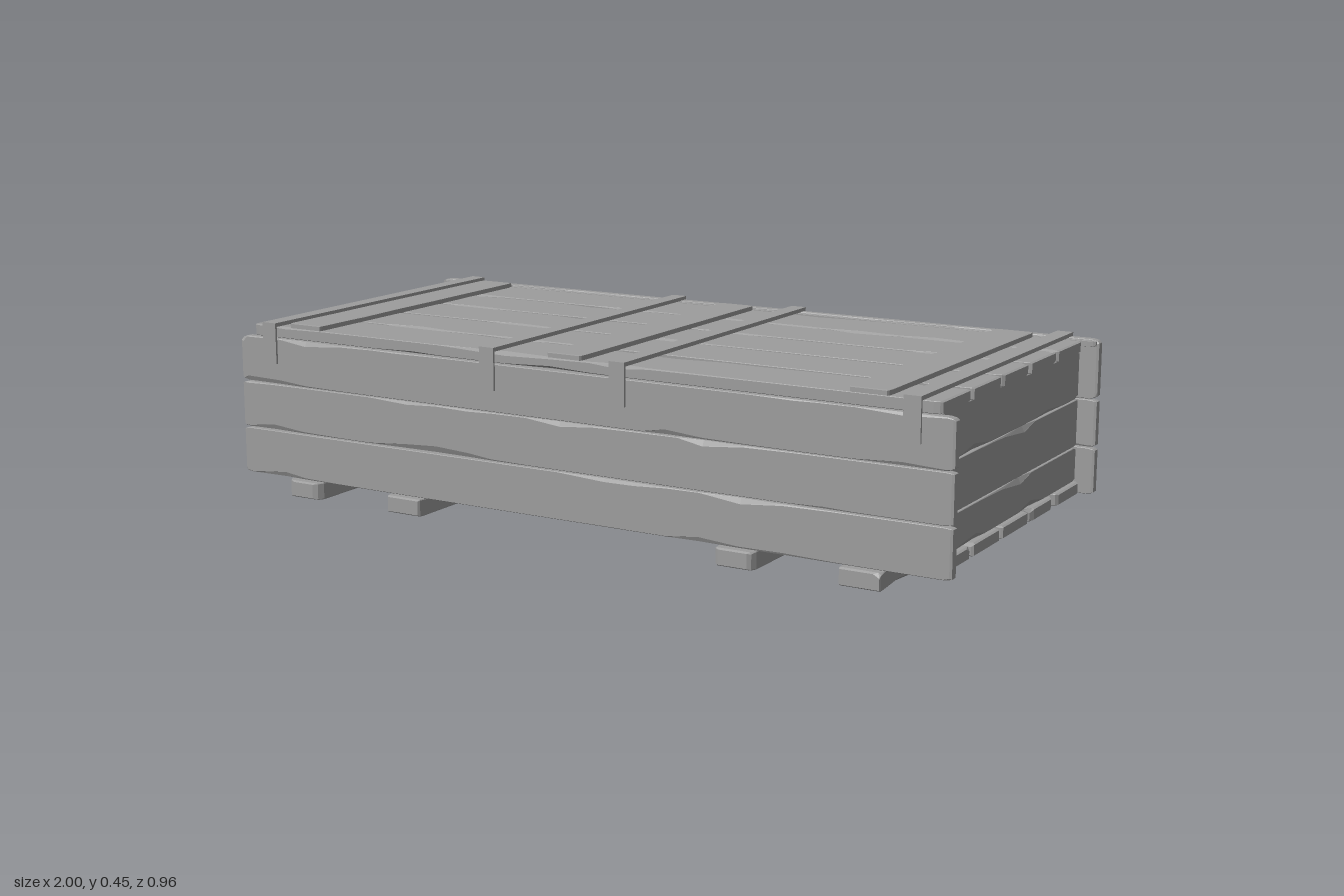
import * as THREE from 'three';

// Small seeded generator for the wear on the wood
let state = 7;
const rnd = () => {
  state = (state * 16807) % 2147483647;
  return state / 2147483647;
};

const material = new THREE.MeshStandardMaterial({ color: 0x9d9d9d, flatShading: true });
const X = new THREE.Vector3(1, 0, 0);
const Y = new THREE.Vector3(0, 1, 0);
const Z = new THREE.Vector3(0, 0, 1);

// Directions of a plank's length, thickness and width
const FLAT_X = [X, Y, Z];
const FLAT_Z = [Z, Y, X.clone().negate()];
const WALL_X = [X, Z, Y.clone().negate()];
const WALL_Z = [Z, X, Y];

// Worn plank: octagonal cross-sections whose chamfers vary along the length
function plankGeometry(length, thick, width, wear) {
  const stations = Math.max(8, Math.round(length / 0.1));
  const pos = [];
  const index = [];
  const corners = [[1, 1], [1, -1], [-1, -1], [-1, 1]];
  const depth = [0, 0, 0, 0];
  const round = [rnd(), rnd()].map((r) => 0.003 + wear * 0.022 * r * r);
  const ts = [0, 0.006, 0.02];
  for (let i = 1; i < stations; i++) ts.push(0.02 + (length - 0.04) * (i + (rnd() - 0.5) * 0.5) / stations);
  ts.push(length - 0.02, length - 0.006, length);
  ts.forEach((t, i) => {
    const end = t < length / 2 ? 0 : 1;
    const fromEnd = Math.min(i, ts.length - 1 - i);
    const inset = fromEnd === 0 ? round[end] : fromEnd === 1 ? round[end] * 0.4 : 0;
    const squash = fromEnd === 0 ? thick * 0.08 : 0;
    corners.forEach(([sy, sz], k) => {
      const target = rnd() < 0.2 ? rnd() : 0.01;
      depth[k] = depth[k] * 0.2 + target * 0.8;
      const cw = 0.001 + 0.024 * depth[k] * wear;
      const ct = thick * (0.04 + 0.4 * depth[k] * wear);
      const a = [t - length / 2, sy * (thick / 2 - squash), sz * (width / 2 - inset - cw)];
      const b = [t - length / 2, sy * (thick / 2 - Math.max(ct, squash)), sz * (width / 2 - inset)];
      pos.push(...(sy === sz ? [...b, ...a] : [...a, ...b]));
    });
  });
  const last = (ts.length - 1) * 8;
  for (let i = 0; i < last; i += 8) {
    for (let k = 0; k < 8; k++) {
      const n = (k + 1) % 8;
      index.push(i + k, i + 8 + k, i + 8 + n, i + k, i + 8 + n, i + n);
    }
  }
  for (let k = 1; k < 7; k++) {
    index.push(0, k, k + 1, last, last + k + 1, last + k);
  }
  // The corners run clockwise seen from the far end, so the faces are turned outward here
  index.reverse();
  const g = new THREE.BufferGeometry();
  g.setAttribute('position', new THREE.Float32BufferAttribute(pos, 3));
  g.setIndex(outward(pos, index) ? index : index.reverse());
  const flat = g.toNonIndexed();
  flat.computeVertexNormals();
  return flat;
}

// True when the closed surface encloses a positive volume
function outward(pos, index) {
  const p = (i) => new THREE.Vector3().fromArray(pos, i * 3);
  let volume = 0;
  for (let i = 0; i < index.length; i += 3) {
    volume += p(index[i]).dot(p(index[i + 1]).cross(p(index[i + 2])));
  }
  return volume > 0;
}

function plank(parent, name, axes, [length, thick, width], [x, y, z], wear = 1) {
  const mesh = new THREE.Mesh(plankGeometry(length, thick, width, wear), material);
  mesh.name = name;
  mesh.quaternion.setFromRotationMatrix(new THREE.Matrix4().makeBasis(...axes));
  mesh.position.set(x, y, z);
  parent.add(mesh);
}

function box(parent, name, w, h, d, x, y, z) {
  const mesh = new THREE.Mesh(new THREE.BoxGeometry(w, h, d), material);
  mesh.name = name;
  mesh.position.set(x, y, z);
  parent.add(mesh);
}

function section(parent, name) {
  const g = new THREE.Group();
  g.name = name;
  parent.add(g);
  return g;
}

export function createModel() {
  state = 7;
  const crate = new THREE.Group();
  crate.name = 'woodenCrate';

  // Runners under the crate
  const base = section(crate, 'base');
  for (const x of [-0.79, -0.47, 0.47, 0.79]) {
    plank(base, 'runner', FLAT_Z, [0.96, 0.043, 0.105], [x, 0.0215, 0]);
  }

  // Floor planks
  for (let i = -2; i <= 2; i++) {
    plank(base, 'floorPlank', FLAT_X, [1.93, 0.03, 0.16], [0, 0.058, i * 0.175]);
  }

  // Walls: three boards on each side, the top back board standing as high as the lid
  const walls = section(crate, 'walls');
  const rows = [[0.043, 0.161], [0.165, 0.284], [0.287, 0.405]];
  rows.forEach(([low, high], i) => {
    const backHigh = i === 2 ? 0.437 : high;
    plank(walls, 'frontBoard', WALL_X, [2, 0.024, high - low], [0, (low + high) / 2, 0.444], 0.7);
    plank(walls, 'backBoard', WALL_X, [2, 0.024, backHigh - low], [0, (low + backHigh) / 2, -0.444], 0.7);
    const endLow = i === 0 ? 0.075 : low;
    for (const s of [-1, 1]) {
      plank(walls, 'endBoard', WALL_Z, [0.86, 0.026, high - endLow], [s * 0.94, (endLow + high) / 2, 0], 0.8);
    }
  });

  // Narrow ledge closing the gap between the lid and the back wall
  plank(walls, 'backLedge', FLAT_X, [1.99, 0.014, 0.016], [0, 0.428, -0.425], 0.2);

  // Lid planks, resting on the front wall
  const lid = section(crate, 'lid');
  for (let i = -2; i <= 2; i++) {
    plank(lid, 'lidPlank', FLAT_X, [1.93, 0.028, 0.16], [0, 0.422, 0.024 + i * 0.1735]);
  }

  // Wide battens across the lid
  for (const x of [-0.79, -0.005, 0.79]) {
    plank(lid, 'lidBatten', FLAT_Z, [0.855, 0.013, 0.1], [x, 0.4415, 0.023], 0.4);
  }

  // Narrow straps over the lid, bent down at front and back
  for (const x of [-0.9, -0.22, 0.15, 0.9]) {
    const strap = section(crate, 'strap');
    box(strap, 'strapTop', 0.042, 0.01, 0.924, x, 0.441, 0);
    box(strap, 'strapFrontEnd', 0.042, 0.1, 0.006, x, 0.39, 0.459);
    box(strap, 'strapBackEnd', 0.042, 0.05, 0.006, x, 0.415, -0.459);
  }
  return crate;
}
